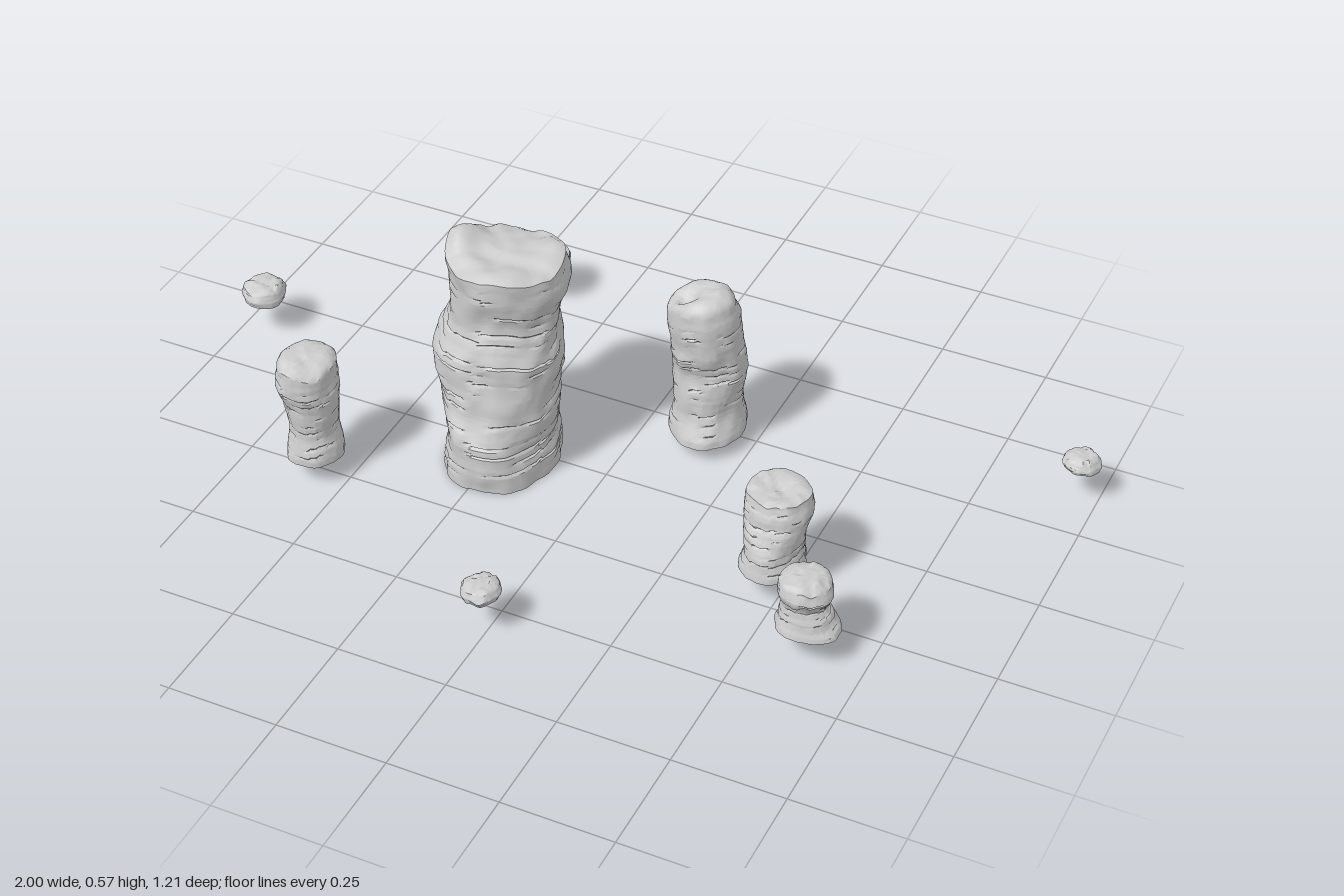
import * as THREE from 'three';
import { mergeVertices, toCreasedNormals } from 'three/addons/utils/BufferGeometryUtils.js';

const material = new THREE.MeshStandardMaterial({ color: 0xcccccc, roughness: 0.95 });

// Seeded lattice hash and smooth value noise in the range -1..1
function hash(x, y, z) {
  const s = Math.sin(x * 127.1 + y * 311.7 + z * 74.7) * 43758.5453;
  return (s - Math.floor(s)) * 2 - 1;
}
function noise(x, y, z) {
  const ix = Math.floor(x), iy = Math.floor(y), iz = Math.floor(z);
  const s = (t) => t * t * (3 - 2 * t);
  const fx = s(x - ix), fy = s(y - iy), fz = s(z - iz);
  const mix = THREE.MathUtils.lerp;
  const row = (j, k) => mix(hash(ix, iy + j, iz + k), hash(ix + 1, iy + j, iz + k), fx);
  return mix(mix(row(0, 0), row(1, 0), fy), mix(row(0, 1), row(1, 1), fy), fz);
}

// Smooth interpolation through stations [y, xMin, xMax, zMin, zMax]
function sample(stations, y) {
  let i = 0;
  while (i < stations.length - 2 && y > stations[i + 1][0]) i++;
  const a = stations[i], b = stations[i + 1];
  const t = THREE.MathUtils.smoothstep(y, a[0], b[0]);
  return a.map((v, k) => THREE.MathUtils.lerp(v, b[k], t));
}

const bump = (u, w, cu, cw, size) => Math.exp(-((u - cu) ** 2 + (w - cw) ** 2) / (size * size));

// A closed rock: top cap rings, weathered sides with ledges, flat underside
function rock(name, o) {
  const { stations, top, seed, drop = 0.01, layers = 12, rough = 0.05, ledge = 0.06, segments = 64 } = o;
  const capRows = 10, sideRows = layers * 5, rows = capRows + sideRows + 1;
  const base = stations[0][0], rim = stations[stations.length - 1][0];
  const geometry = new THREE.PlaneGeometry(1, 1, segments, rows);
  const p = geometry.attributes.position;
  for (let k = 0; k < p.count; k++) {
    const row = Math.floor(k / (segments + 1));
    const angle = ((k % (segments + 1)) % segments) / segments * Math.PI * 2;
    const c = Math.sin(angle), s = Math.cos(angle);
    const t = row < capRows ? row / capRows : row === rows ? 0 : 1;
    const v = THREE.MathUtils.clamp(1 - (row - capRows) / sideRows, 0, 1);
    const [, x0, x1, z0, z1] = sample(stations, base + (rim - base) * v);

    // broad lumps plus overhanging strata that fade in and out around the rock
    let r = 0.98 + rough * noise(c * 2 + seed, v * layers * 0.35, s * 2)
      + rough * 0.5 * noise(c * 5, v * layers * 0.6 + seed, s * 5);
    const band = v * layers + 0.35 * noise(c * 1.5, seed, s * 1.5);
    const layer = Math.floor(band), f = band - layer;
    const patch = Math.max(0, noise(c * 2.2 + seed, layer * 3.7, s * 2.2) + 0.25);
    const fade = Math.min(1, (1 - v) * 5) * Math.min(1, v * 8);
    r += ledge * patch * fade * (f < 0.2 ? -1.1 : 0.6 - f * 0.5);

    const u = c * r * t, w = s * r * t;
    const crown = top(u, w) + (o.crumble ?? 0.004) * noise(u * 4 + seed, 1.5, w * 4)
      - drop * Math.pow(t, 5);
    const y = row === rows ? base : base + (crown - base) * v;
    p.setXYZ(k, (x0 + x1) / 2 + u * (x1 - x0) / 2, y, (z0 + z1) / 2 + w * (z1 - z0) / 2);
  }
  geometry.deleteAttribute('uv');
  geometry.deleteAttribute('normal');
  const mesh = new THREE.Mesh(toCreasedNormals(mergeVertices(geometry, 1e-5), 0.75), material);
  mesh.name = name;
  return mesh;
}

const pillars = {
  mainPillar: {
    seed: 3, layers: 22, segments: 80, drop: 0.012, crumble: 0.009,
    stations: [
      [0, -0.365, -0.11, -0.13, 0.185], [0.11, -0.35, -0.12, -0.13, 0.185],
      [0.19, -0.37, -0.11, -0.1, 0.16], [0.29, -0.39, -0.1, -0.105, 0.15],
      [0.4, -0.355, -0.11, -0.085, 0.125], [0.48, -0.35, -0.095, -0.12, 0.135],
      [0.53, -0.355, -0.1, -0.105, 0.14]],
    top: (u, w) => 0.535 + 0.04 * bump(u, w, -0.85, 0, 0.4) + 0.024 * bump(u, w, 0.8, -0.5, 0.4)
      + 0.012 * bump(u, w, 0.3, 0.9, 0.4),
  },
  backPillar: {
    seed: 11, layers: 16, drop: 0.03,
    stations: [
      [0.035, 0.055, 0.23, -0.33, -0.125], [0.11, 0.065, 0.215, -0.315, -0.145],
      [0.2, 0.06, 0.225, -0.305, -0.155], [0.28, 0.065, 0.222, -0.295, -0.135],
      [0.35, 0.055, 0.215, -0.29, -0.13], [0.39, 0.055, 0.205, -0.275, -0.135]],
    top: (u, w) => 0.405 + 0.012 * u - 0.035 * bump(u, w, -0.4, 0.2, 0.35),
  },
  rightPillar: {
    seed: 23, layers: 12, drop: 0.018,
    stations: [
      [0.055, -0.645, -0.515, 0.185, 0.325], [0.13, -0.638, -0.53, 0.19, 0.31],
      [0.19, -0.645, -0.525, 0.19, 0.315], [0.25, -0.66, -0.525, 0.18, 0.33],
      [0.3, -0.655, -0.525, 0.185, 0.325]],
    top: (u, w) => 0.312 - 0.012 * bump(u, w, 0.5, 0.6, 0.5),
  },
  leftPillar: {
    seed: 37, layers: 9, drop: 0.008, crumble: 0.006,
    stations: [
      [0.065, 0.4, 0.54, 0.085, 0.265], [0.11, 0.41, 0.53, 0.09, 0.255],
      [0.15, 0.405, 0.535, 0.1, 0.245], [0.2, 0.4, 0.545, 0.08, 0.23],
      [0.24, 0.4, 0.537, 0.085, 0.215]],
    top: (u, w) => 0.244 - 0.01 * bump(u, w, 0.1, 0.2, 0.5),
  },
  leftFrontPillar: {
    seed: 41, layers: 8, drop: 0.01, crumble: 0.006,
    stations: [
      [0.07, 0.545, 0.69, 0.27, 0.4], [0.1, 0.555, 0.67, 0.28, 0.392],
      [0.135, 0.56, 0.655, 0.295, 0.385], [0.17, 0.55, 0.67, 0.28, 0.4],
      [0.19, 0.55, 0.665, 0.28, 0.395]],
    top: (u, w) => 0.2 - 0.008 * u * u,
  },
};

// Low flat stones: [name, xMin, xMax, zMin, zMax, base, top]
const stones = [
  ['farRightStone', -1.0, -0.897, -0.207, -0.1, 0.085, 0.125],
  ['backStone', -0.485, -0.36, -0.612, -0.495, 0.082, 0.122],
  ['frontStone', -0.06, 0.025, 0.51, 0.605, 0.085, 0.118],
  ['farLeftStone', 0.913, 1.0, -0.417, -0.335, 0.085, 0.117],
];

export function createModel() {
  const group = new THREE.Group();
  group.name = 'rockPillars';
  for (const [name, options] of Object.entries(pillars)) group.add(rock(name, options));
  stones.forEach(([name, x0, x1, z0, z1, y0, y1], i) => group.add(rock(name, {
    seed: 51 + i * 7, layers: 3, segments: 40, drop: 0.008, rough: 0.09, ledge: 0.05, crumble: 0.006,
    stations: [[y0, x0 + 0.004, x1 - 0.004, z0 + 0.004, z1 - 0.004], [(y0 + y1) / 2, x0, x1, z0, z1],
      [y1, x0 + 0.006, x1 - 0.006, z0 + 0.006, z1 - 0.006]],
    top: () => y1,
  })));
  return group;
}
